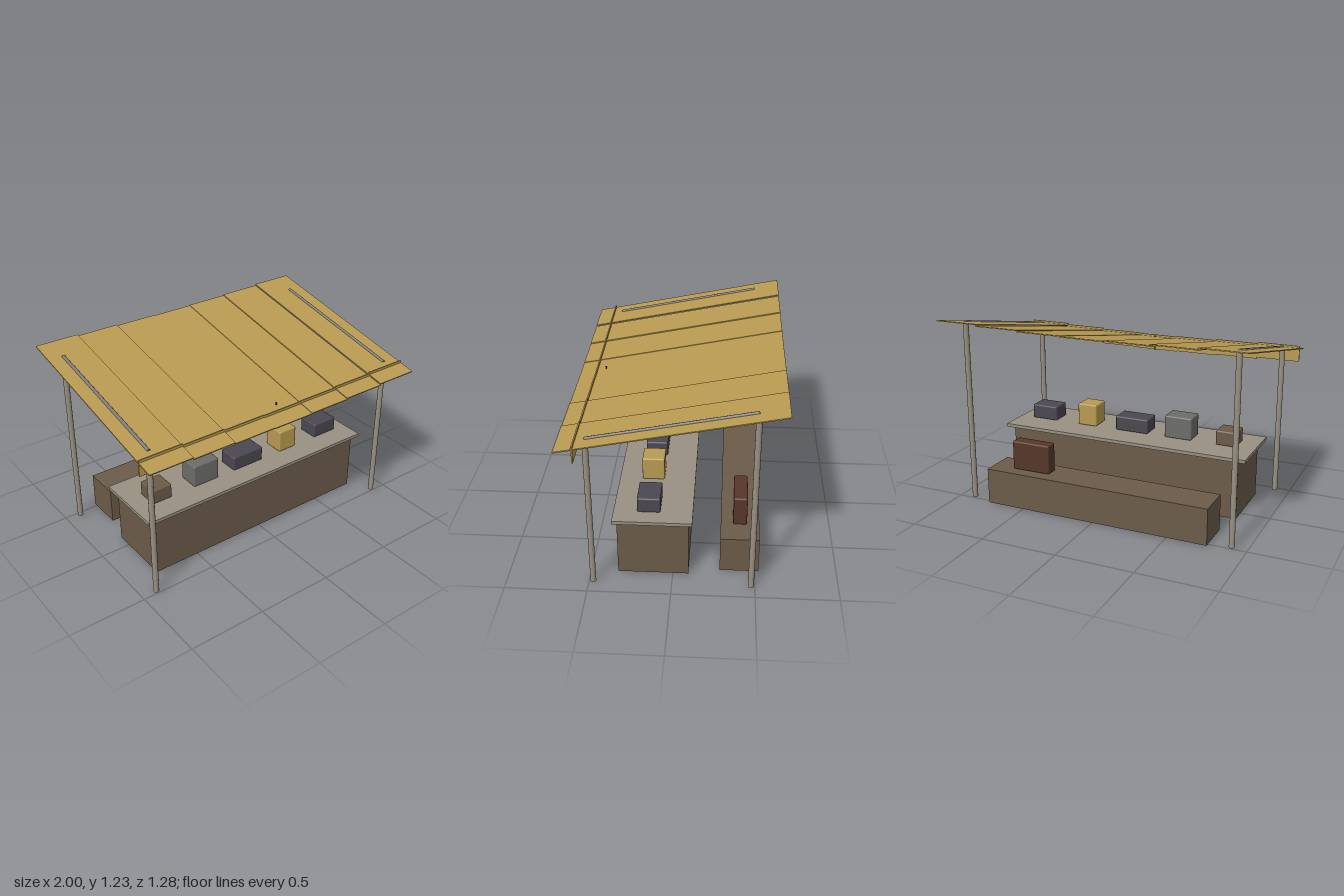
import * as THREE from 'three';
import { RoundedBoxGeometry } from 'three/addons/geometries/RoundedBoxGeometry.js';

const material = (name, color) => {
  const m = new THREE.MeshStandardMaterial({ color });
  m.name = name;
  return m;
};

export function createModel() {
  const group = new THREE.Group();
  const canvas = material('straw canvas', 0xb89a52);
  const wood = material('dull brown wood', 0x6b5b49);
  const pale = material('weathered pale wood', 0x989082);
  const railGrey = material('rail grey', 0x7c7873);
  const grey = material('grey crate', 0x6c6c69);
  const slate = material('slate crate', 0x4b4751);
  const rust = material('rust brown', 0x56362a);
  const dark = material('dark cord', 0x3a3026);

  const add = (name, geometry, mat, x, y, z) => {
    const mesh = new THREE.Mesh(geometry, mat);
    mesh.name = name;
    mesh.position.set(x, y, z);
    group.add(mesh);
    return mesh;
  };
  // Boxes given by their minimum and maximum corners
  const box = (name, mat, [x0, y0, z0], [x1, y1, z1], radius = 0) => {
    const size = [x1 - x0, y1 - y0, z1 - z0];
    const geometry = radius
      ? new RoundedBoxGeometry(...size, 2, radius)
      : new THREE.BoxGeometry(...size);
    return add(name, geometry, mat, (x0 + x1) / 2, (y0 + y1) / 2, (z0 + z1) / 2);
  };

  // Counter and rear bench
  box('counterBase', wood, [-0.805, 0, -0.095], [0.805, 0.39, 0.335]);
  box('counterTop', pale, [-0.855, 0.39, -0.118], [0.855, 0.412, 0.358]);
  box('bench', wood, [-0.76, 0, -0.523], [0.76, 0.236, -0.285]);
  box('benchCrate', rust, [0.345, 0.236, -0.446], [0.61, 0.429, -0.361], 0.01);

  // Goods on the counter: left edge, right edge, top, colour
  const goods = [
    [-0.736, -0.596, 0.51, wood],
    [-0.428, -0.24, 0.562, grey],
    [-0.118, 0.115, 0.51, slate],
    [0.262, 0.4, 0.562, canvas],
    [0.57, 0.757, 0.51, slate],
  ];
  goods.forEach(([x0, x1, top, mat], i) =>
    box(`goods${i + 1}`, mat, [x0, 0.412, 0.075], [x1, top, 0.215], 0.01));

  // Posts with sloping side rails
  const slope = Math.atan2(0.26, 1.28);
  for (const side of [-1, 1]) {
    const x = side * 0.9;
    for (const [name, z, h] of [['frontPost', 0.476, 0.998], ['backPost', -0.476, 1.19]]) {
      add(name, new THREE.CylinderGeometry(0.018, 0.018, h, 12), pale, x, h / 2, z);
    }
    const rail = add('sideRail', new THREE.CylinderGeometry(0.012, 0.012, 0.975, 10),
      railGrey, x, 1.096, 0);
    rail.rotation.x = slope - Math.PI / 2;
  }

  // Seven canopy strips and valance pieces, sagging towards the middle
  const width = 2 / 7;
  const sag = [0.02, 0.0165, 0.0095, 0];
  for (let i = -3; i <= 3; i++) {
    const drop = sag[Math.abs(i)];
    const strip = add('canopyStrip', new THREE.BoxGeometry(width, 0.007, 1.305),
      canvas, i * width, 1.095 - drop, 0);
    strip.rotation.x = slope;
    add('valance', new THREE.BoxGeometry(width, 0.104, 0.008),
      canvas, i * width, 0.953 - drop, 0.533);
  }

  // Short cord through the middle of the canopy
  add('cord', new THREE.CylinderGeometry(0.004, 0.004, 0.11, 6), dark, 0, 0.945, 0.474);

  return group;
}
